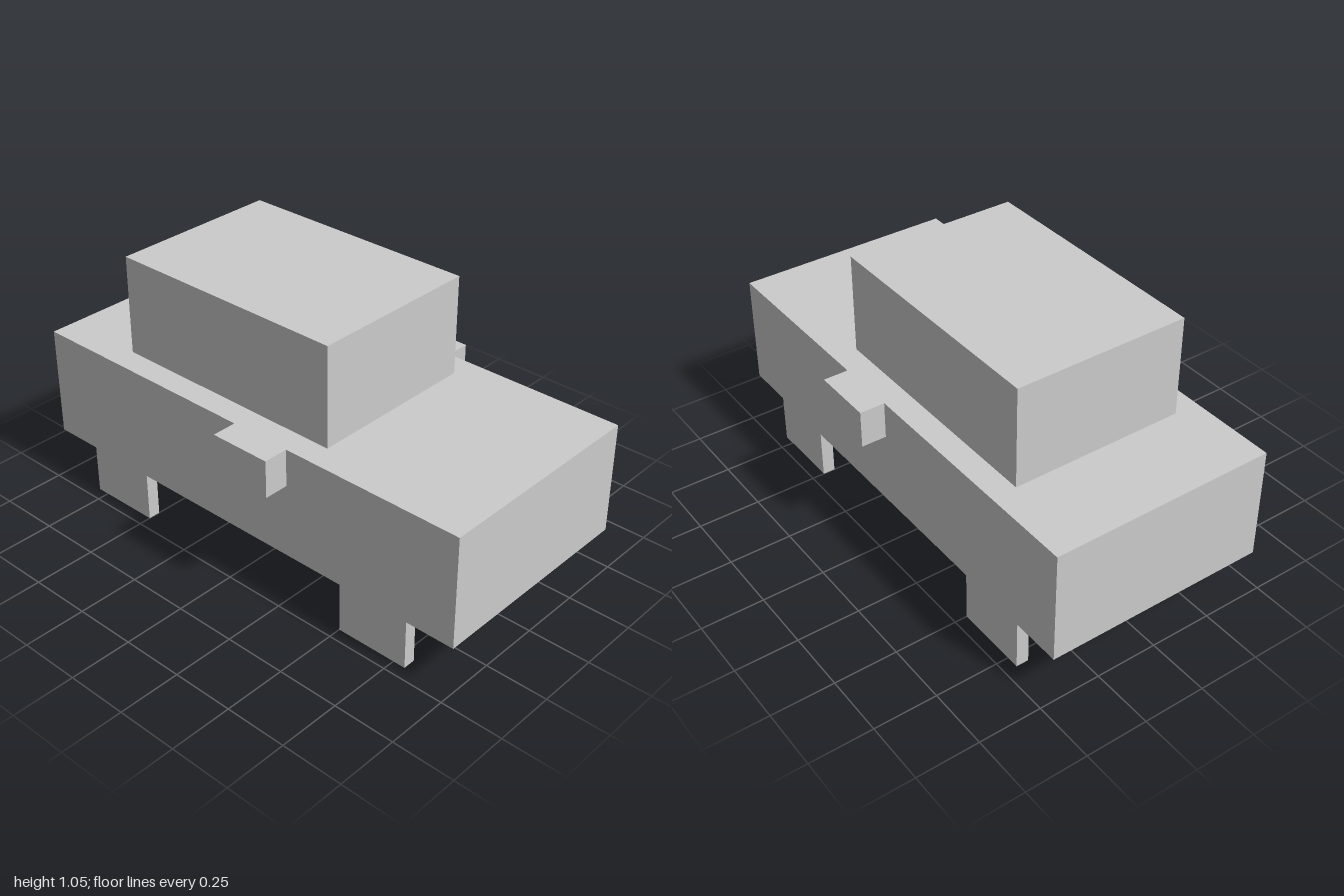
import * as THREE from 'three';

const material = new THREE.MeshStandardMaterial({ color: 0xcccccc, flatShading: true });
const WALL = 0.05;

export function createModel() {
  const group = new THREE.Group();

  const add = (name, geometry) => {
    const mesh = new THREE.Mesh(geometry, material);
    mesh.name = name;
    group.add(mesh);
    return mesh;
  };
  // Box given by its lower and upper limits on each axis
  const box = (name, [x0, x1], [y0, y1], [z0, z1]) =>
    add(name, new THREE.BoxGeometry(x1 - x0, y1 - y0, z1 - z0))
      .position.set((x0 + x1) / 2, (y0 + y1) / 2, (z0 + z1) / 2);

  // Main body and the cabin set back on top of it
  box('body', [-1, 1], [0.25, 0.65], [-0.45, 0.45]);
  box('cabin', [-0.65, 0.35], [0.65, 1.05], [-0.35, 0.35]);

  // Side skirts with the flat square wheels hanging from them
  const outline = [
    [-1, 0.25], [-1, 0.2], [-0.8, 0.2], [-0.8, 0], [-0.5, 0], [-0.5, 0.2],
    [0.5, 0.2], [0.5, 0], [0.8, 0], [0.8, 0.2], [1, 0.2], [1, 0.25],
  ];
  const skirt = new THREE.Shape(outline.map(([x, y]) => new THREE.Vector2(x, y)));
  const skirtGeometry = new THREE.ExtrudeGeometry(skirt, { depth: WALL, bevelEnabled: false });
  add('frontSkirtWithWheels', skirtGeometry).position.z = 0.4;
  add('backSkirtWithWheels', skirtGeometry).position.z = -0.45;

  // End skirts closing the rim around the recessed underside
  box('leftEndSkirt', [1 - WALL, 1], [0.2, 0.25], [-0.4, 0.4]);
  box('rightEndSkirt', [-1, -1 + WALL], [0.2, 0.25], [-0.4, 0.4]);

  // Wing mirrors, flush with the top of the body
  box('frontMirror', [0, 0.25], [0.5, 0.65], [0.45, 0.55]);
  box('backMirror', [0, 0.25], [0.5, 0.65], [-0.55, -0.45]);

  return group;
}
